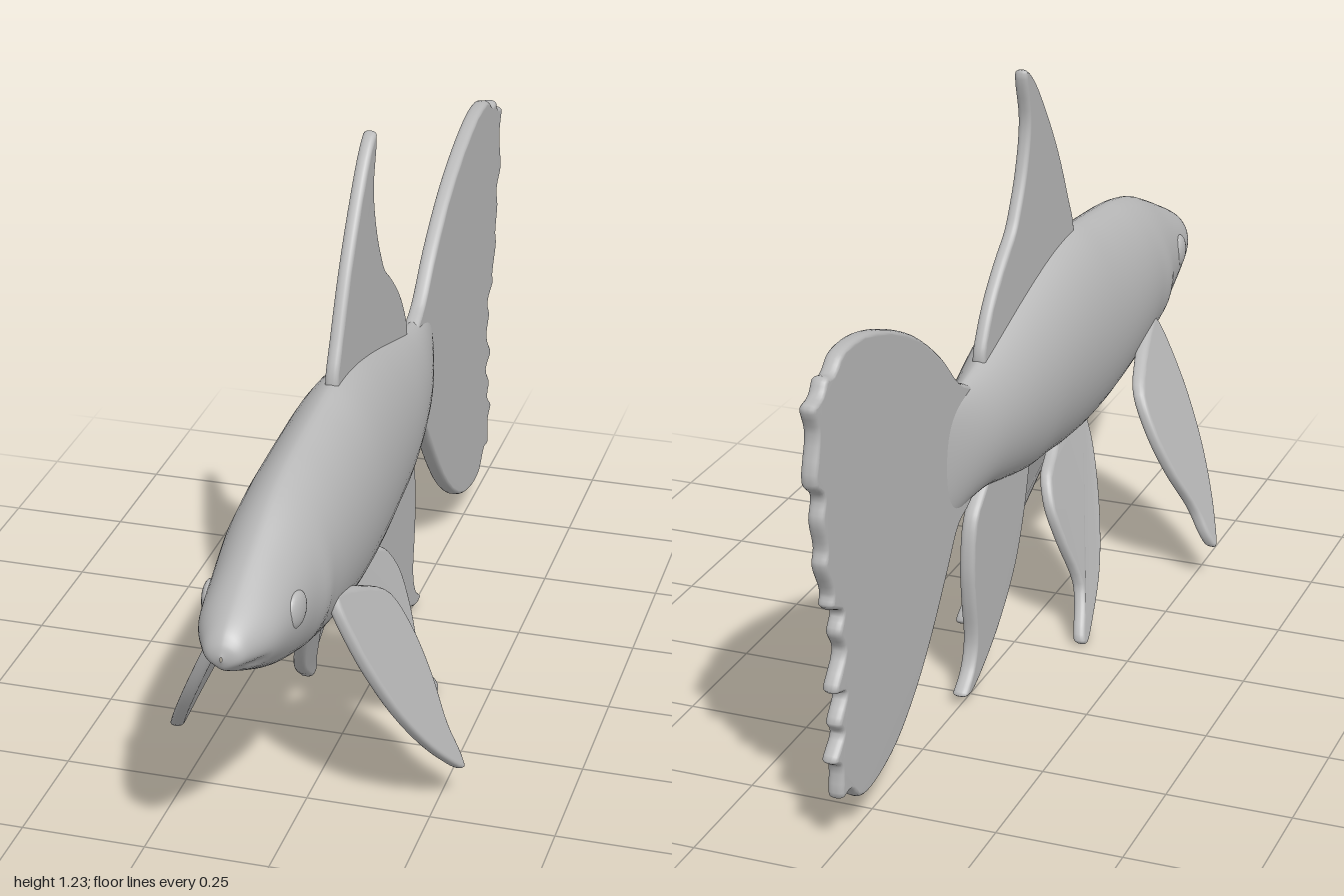
import * as THREE from 'three';
import { mergeVertices } from 'three/addons/utils/BufferGeometryUtils.js';

const skin = new THREE.MeshStandardMaterial({ color: 0xb8b8b8 });
skin.name = 'grey skin';

// Body stations: z, top y, bottom y, half width
const STATIONS = [
  [1.0, 0.602, 0.592, 0.002], [0.99, 0.625, 0.572, 0.03], [0.965, 0.648, 0.555, 0.048],
  [0.9, 0.68, 0.52, 0.075], [0.8, 0.725, 0.47, 0.09], [0.7, 0.765, 0.433, 0.102],
  [0.6, 0.788, 0.405, 0.109], [0.5, 0.8, 0.386, 0.112], [0.4, 0.81, 0.371, 0.112],
  [0.3, 0.818, 0.365, 0.11], [0.2, 0.81, 0.37, 0.106], [0.1, 0.79, 0.382, 0.1],
  [0.0, 0.764, 0.392, 0.092], [-0.1, 0.735, 0.415, 0.081], [-0.2, 0.707, 0.437, 0.065],
  [-0.28, 0.692, 0.44, 0.048], [-0.36, 0.685, 0.435, 0.028], [-0.43, 0.67, 0.45, 0.008],
];

// Fin outlines as z, y pairs
const DORSAL = [
  [0.3, 0.76], [0.315, 0.82], [0.28, 0.9], [0.22, 1.016], [0.14, 1.134], [0.075, 1.21],
  [0.037, 1.233], [0.032, 1.215], [0.053, 1.123], [0.032, 1.027], [-0.005, 0.952],
  [-0.027, 0.92], [-0.08, 0.877], [-0.14, 0.818], [-0.18, 0.76], [-0.2, 0.71], [-0.18, 0.65],
];
const TAIL = [
  [-0.2, 0.64], [-0.28, 0.69], [-0.33, 0.715], [-0.42, 0.8], [-0.55, 0.89], [-0.69, 0.95],
  [-0.8, 0.976], [-0.875, 0.972], [-0.91, 0.947], [-0.94, 0.95], [-0.96, 0.925], [-0.997, 0.913],
  [-0.98, 0.86], [-0.997, 0.77], [-0.963, 0.733], [-0.973, 0.69], [-0.957, 0.63], [-0.965, 0.6],
  [-0.935, 0.535], [-0.94, 0.51], [-0.893, 0.48], [-0.91, 0.445], [-0.888, 0.4], [-0.93, 0.337],
  [-0.888, 0.315], [-0.92, 0.267], [-0.904, 0.24], [-0.94, 0.2], [-0.914, 0.176], [-0.914, 0.112],
  [-0.877, 0.112], [-0.834, 0.075], [-0.77, 0.07], [-0.66, 0.1], [-0.556, 0.17], [-0.476, 0.25],
  [-0.396, 0.348], [-0.34, 0.417], [-0.28, 0.44], [-0.2, 0.5],
];
const PECTORAL = [
  [0.61, 0.53], [0.62, 0.42], [0.59, 0.294], [0.54, 0.198], [0.48, 0.123], [0.432, 0.083],
  [0.42, 0.11], [0.417, 0.17], [0.385, 0.257], [0.374, 0.348], [0.395, 0.43], [0.47, 0.48], [0.55, 0.515],
];
const PELVIC = [
  [0.34, 0.41], [0.34, 0.36], [0.315, 0.294], [0.26, 0.198], [0.19, 0.107], [0.11, 0.043],
  [0.043, 0.003], [0.027, 0.016], [0.07, 0.08], [0.085, 0.118], [0.06, 0.214], [0.053, 0.294],
  [0.085, 0.353], [0.14, 0.38], [0.22, 0.42],
];
const ANAL = [
  [0.06, 0.44], [0.053, 0.4], [0.02, 0.294], [-0.03, 0.198], [-0.107, 0.118], [-0.19, 0.06],
  [-0.28, 0.02], [-0.31, 0.027], [-0.27, 0.064], [-0.25, 0.118], [-0.262, 0.214],
  [-0.267, 0.294], [-0.25, 0.385], [-0.21, 0.428], [-0.14, 0.47],
];

function named(name, geometry) {
  const mesh = new THREE.Mesh(geometry, skin);
  mesh.name = name;
  return mesh;
}

const bump = (d, width) => Math.exp(-(d * d) / (width * width));

// Lofted body with a mouth groove and gill cover ridges
function bodyGeometry() {
  const spine = new THREE.CatmullRomCurve3(STATIONS.map(([z, t, b]) => new THREE.Vector3(z, t, b)), false, 'catmullrom');
  const girth = new THREE.CatmullRomCurve3(STATIONS.map((s) => new THREE.Vector3(s[3], 0, 0)), false, 'catmullrom');
  const rings = 110, sides = 48, pos = [], index = [];
  for (let i = 0; i <= rings; i++) {
    const { x: z, y: top, z: bottom } = spine.getPoint(i / rings);
    const w = girth.getPoint(i / rings).x;
    for (let j = 0; j < sides; j++) {
      const a = (j / sides) * Math.PI * 2, c = Math.cos(a);
      const y = (top + bottom) / 2 + ((top - bottom) / 2) * Math.sin(a);
      const mouth = 0.2 * bump(y - 0.572 - (z - 1) * 0.15, 0.01) * THREE.MathUtils.smoothstep(z, 0.9, 0.94);
      const edge = 0.65 - 1.2 * (y - 0.56) ** 2;
      const gill = 0.006 * bump(z - edge - 0.04, 0.03) * bump(y - 0.55, 0.1);
      const x = Math.sign(c) * Math.abs(c) ** 1.2 * (w * (1 - mouth) + gill);
      pos.push(x, y, z);
      if (i < rings) {
        const k = (j + 1) % sides, p = i * sides, q = p + sides;
        index.push(p + j, q + j, p + k, p + k, q + j, q + k);
      }
    }
  }
  const g = new THREE.BufferGeometry();
  g.setAttribute('position', new THREE.Float32BufferAttribute(pos, 3));
  g.setIndex(index);
  g.computeVertexNormals();
  return g;
}

// Soft-edged fin from a side outline; lean(y) moves it sideways
function finGeometry(outline, thickness, lean = () => 0) {
  const curve = new THREE.CatmullRomCurve3(outline.map(([z, y]) => new THREE.Vector3(-z, y, 0)), true, 'centripetal');
  const shape = new THREE.Shape(curve.getPoints(outline.length * 4).slice(0, -1).map((p) => new THREE.Vector2(p.x, p.y)));
  const bevel = thickness * 0.4, depth = thickness - 2 * bevel;
  let g = new THREE.ExtrudeGeometry(shape, {
    depth, bevelEnabled: true, bevelThickness: bevel, bevelSize: 0.008, bevelOffset: -0.008, bevelSegments: 4,
  });
  g.translate(0, 0, -depth / 2).rotateY(Math.PI / 2);
  g.deleteAttribute('normal');
  g.deleteAttribute('uv');
  g = mergeVertices(g, 1e-5);
  const p = g.attributes.position;
  for (let i = 0; i < p.count; i++) p.setX(i, p.getX(i) + lean(p.getY(i)));
  g.computeVertexNormals();
  return g;
}

export function createModel() {
  const fish = new THREE.Group();
  fish.name = 'fish';
  fish.add(
    named('body', bodyGeometry()),
    named('dorsalFin', finGeometry(DORSAL, 0.027)),
    named('tailFin', finGeometry(TAIL, 0.032)),
    named('analFin', finGeometry(ANAL, 0.032)),
  );

  // Paired parts
  for (const [label, side] of [['left', 1], ['right', -1]]) {
    fish.add(
      named(label + 'PectoralFin', finGeometry(PECTORAL, 0.028, (y) => side * (0.098 + (0.5 - y) * 0.465))),
      named(label + 'PelvicFin', finGeometry(PELVIC, 0.026, (y) => side * (0.032 + (0.36 - y) * 0.36 - (0.36 - y) ** 2 * 0.2))),
    );
    const eye = named(label + 'Eye', new THREE.SphereGeometry(1, 24, 16));
    eye.scale.set(0.015, 0.036, 0.036);
    eye.position.set(side * 0.081, 0.61, 0.815);
    eye.rotation.y = side * -0.12;
    fish.add(eye);
  }
  return fish;
}
